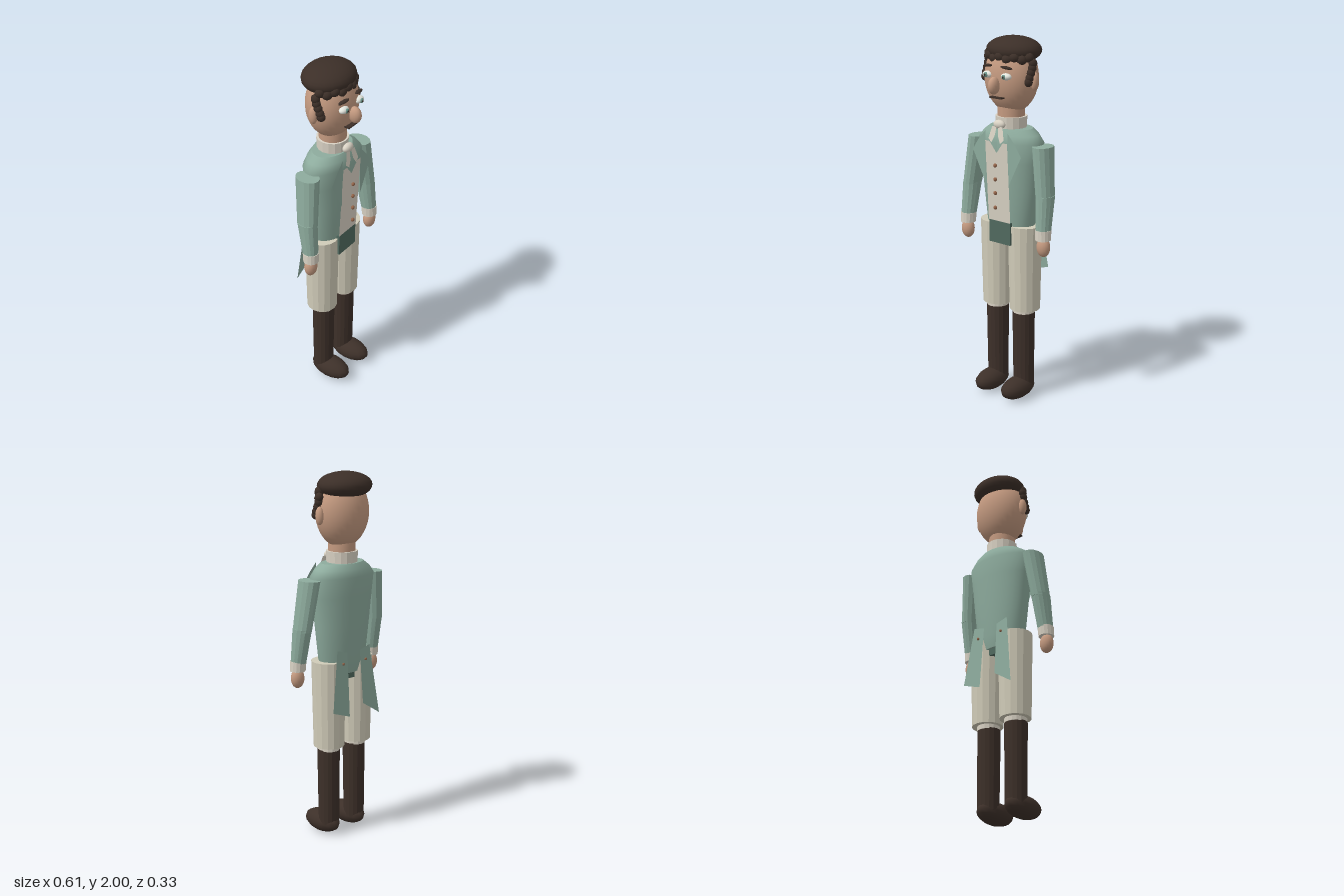
import * as THREE from 'three';

const mat = (name, color) => {
  const m = new THREE.MeshStandardMaterial({ color, side: THREE.DoubleSide });
  m.name = name;
  return m;
};

export function createModel() {
  const root = new THREE.Group();
  const skin = mat('skin', 0xc49a80), hair = mat('hair', 0x3c2f28), boot = mat('bootLeather', 0x3d3029);
  const coat = mat('coat', 0x8dab9d), coatDark = mat('darkCoat', 0x50695f), cloth = mat('breeches', 0xd0cbb8);
  const linen = mat('linen', 0xd9d2c4), white = mat('eyeWhite', 0xe4e6de), iris = mat('iris', 0x6f9a8f);
  const copper = mat('copper', 0x94654a);

  const add = (name, geo, material) => {
    const m = new THREE.Mesh(geo, material);
    m.name = name;
    root.add(m);
    return m;
  };

  // Capped body through elliptical rings [y, rx, rz, cx, cz], listed top to bottom
  const loft = (name, rings, segs, material, flat = true) => {
    const n = rings.length - 1;
    let g = new THREE.CylinderGeometry(1, 1, 1, segs, n);
    const p = g.attributes.position;
    for (let i = 0; i < p.count; i++) {
      const [y, rx, rz, cx = 0, cz = 0] = rings[Math.round((0.5 - p.getY(i)) * n)];
      p.setXYZ(i, cx + p.getX(i) * rx, y, cz + p.getZ(i) * rz);
    }
    if (flat) g = g.toNonIndexed();
    g.computeVertexNormals();
    return add(name, g, material);
  };

  const ellipsoid = (name, [x, y, z], [rx, ry, rz], material, w = 16, h = 12) => {
    const m = add(name, new THREE.SphereGeometry(1, w, h), material);
    m.position.set(x, y, z);
    m.scale.set(rx, ry, rz);
    return m;
  };

  // Thin flat panel from outline points, with depth following z = f(y)
  const plate = (name, pts, zAt, material) => {
    const g = new THREE.ShapeGeometry(new THREE.Shape(pts.map(([x, y]) => new THREE.Vector2(x, y))));
    const p = g.attributes.position;
    for (let i = 0; i < p.count; i++) p.setZ(i, zAt(p.getY(i)));
    g.computeVertexNormals();
    return add(name, g, material);
  };
  const flip = (pts, s) => pts.map(([x, y]) => [x * s, y]);

  // Coat body and the dark piece between the legs
  loft('coatBody', [
    [1.525, 0.13, 0.088, 0, -0.014], [1.495, 0.172, 0.105, 0, -0.014], [1.455, 0.204, 0.117, 0, -0.013],
    [1.35, 0.19, 0.114, 0, -0.013], [1.2, 0.172, 0.106, 0, -0.014], [1.0, 0.148, 0.094, 0, -0.014],
    [0.93, 0.115, 0.08, 0, -0.014],
  ], 28, coat, false);
  add('coatFork', new THREE.BoxGeometry(0.145, 0.125, 0.165), coatDark).position.set(0, 0.958, 0.003);

  // Waistcoat front with a V neck, and its buttons
  const frontZ = (y) => 0.086 + (y - 1.02) * 0.06;
  plate('waistcoat', [[-0.075, 1.02], [0.075, 1.02], [0.075, 1.46], [0.045, 1.46], [0, 1.4], [-0.045, 1.46], [-0.075, 1.46]],
    frontZ, linen);
  for (const y of [1.335, 1.26, 1.185, 1.105]) ellipsoid('waistcoatButton', [0, y, 0.12], [0.011, 0.011, 0.009], copper, 10, 8);

  // Neck, collar and cravat
  loft('neck', [[1.65, 0.073, 0.073, 0, -0.012], [1.57, 0.073, 0.073, 0, -0.012]], 20, skin, false);
  loft('collar', [[1.585, 0.086, 0.084, 0, -0.013], [1.515, 0.083, 0.082, 0, -0.013]], 16, linen);
  ellipsoid('cravatKnot', [0, 1.55, 0.085], [0.037, 0.024, 0.022], linen);
  for (const s of [-1, 1])
    plate('cravatTail', flip([[0.005, 1.545], [0.035, 1.54], [0.052, 1.475], [0.03, 1.455], [0.012, 1.49]], s),
      (y) => 0.1 + (1.545 - y) * 0.18, linen);

  // Head and face
  ellipsoid('head', [0, 1.79, -0.015], [0.152, 0.19, 0.128], skin, 28, 20);
  ellipsoid('nose', [0, 1.76, 0.127], [0.027, 0.046, 0.037], skin);
  add('mouth', new THREE.BoxGeometry(0.08, 0.007, 0.03), hair).position.set(0, 1.695, 0.105);

  // Hair cap and fringe of curls
  ellipsoid('hairCap', [0, 1.93, -0.035], [0.155, 0.071, 0.132], hair, 22, 14);
  for (let i = 0; i < 9; i++) {
    const a = (i - 4) / 4 * 1.15;
    ellipsoid('fringeCurl', [Math.sin(a) * 0.142, 1.905 - (i % 2) * 0.012, -0.04 + Math.cos(a) * 0.118],
      [0.031, 0.027, 0.026], hair, 10, 8);
  }

  for (const s of [-1, 1]) {
    // Eyes, brows, ears and side curls
    ellipsoid('eye', [s * 0.063, 1.81, 0.104], [0.031, 0.018, 0.022], white);
    ellipsoid('iris', [s * 0.061, 1.81, 0.122], [0.013, 0.013, 0.008], iris, 12, 8);
    ellipsoid('pupil', [s * 0.061, 1.81, 0.128], [0.006, 0.006, 0.005], hair, 10, 8);
    const brow = ellipsoid('brow', [s * 0.063, 1.856, 0.103], [0.036, 0.008, 0.013], hair, 10, 8);
    brow.rotation.set(0, s * 0.2, -s * 0.12);
    ellipsoid('ear', [s * 0.156, 1.78, -0.015], [0.021, 0.048, 0.024], skin);
    [[1.875, -0.005], [1.85, 0.0], [1.825, 0.01], [1.8, 0.02], [1.78, 0.026]].forEach(([y, z], i) =>
      ellipsoid('sideCurl', [s * (0.15 - i * 0.001), y, z], [0.022, 0.024, 0.024], hair, 10, 8));

    // Lapel
    plate('lapel', flip([[0.075, 1.515], [0.125, 1.46], [0.165, 1.4], [0.082, 1.235]], s), () => 0.108, coat);

    // Arm, cuff and hand
    loft('upperArm', [[1.45, 0.052, 0.068, s * 0.22, -0.006], [1.18, 0.046, 0.058, s * 0.254, 0.015]], 14, coat);
    loft('forearm', [[1.195, 0.048, 0.057, s * 0.254, 0.014], [1.0, 0.041, 0.042, s * 0.262, 0.04]], 14, coat);
    loft('sleeveCuff', [[1.015, 0.043, 0.044, s * 0.262, 0.04], [0.96, 0.042, 0.042, s * 0.264, 0.043]], 14, linen);
    ellipsoid('hand', [s * 0.266, 0.92, 0.042], [0.039, 0.054, 0.033], skin);

    // Breeches leg, knee band, boot and foot
    loft('breechesLeg', [[1.0, 0.093, 0.093, s * 0.096, -0.013], [0.52, 0.084, 0.084, s * 0.096, -0.015]], 16, cloth);
    loft('kneeBand', [[0.53, 0.06, 0.063, s * 0.094, -0.01], [0.495, 0.06, 0.063, s * 0.094, -0.01]], 16, linen);
    loft('bootShaft', [[0.5, 0.062, 0.062, s * 0.093, -0.008], [0.06, 0.058, 0.056, s * 0.093, -0.01]], 16, boot);
    ellipsoid('bootFoot', [s * 0.094, 0.06, 0.043], [0.068, 0.06, 0.123], boot, 14, 10);

    // Coat tail with its button, the two cut at different slants
    const hem = s < 0 ? [[0.165, 0.68], [0.05, 0.755]] : [[0.165, 0.74], [0.05, 0.7]];
    plate('coatTail', flip([[0.045, 1.05], [0.115, 1.07], ...hem], s), (y) => -0.108 - (1.05 - y) * 0.073, coat);
    ellipsoid('tailButton', [s * 0.08, 0.995, -0.116], [0.008, 0.008, 0.006], copper, 8, 6);
  }
  return root;
}
